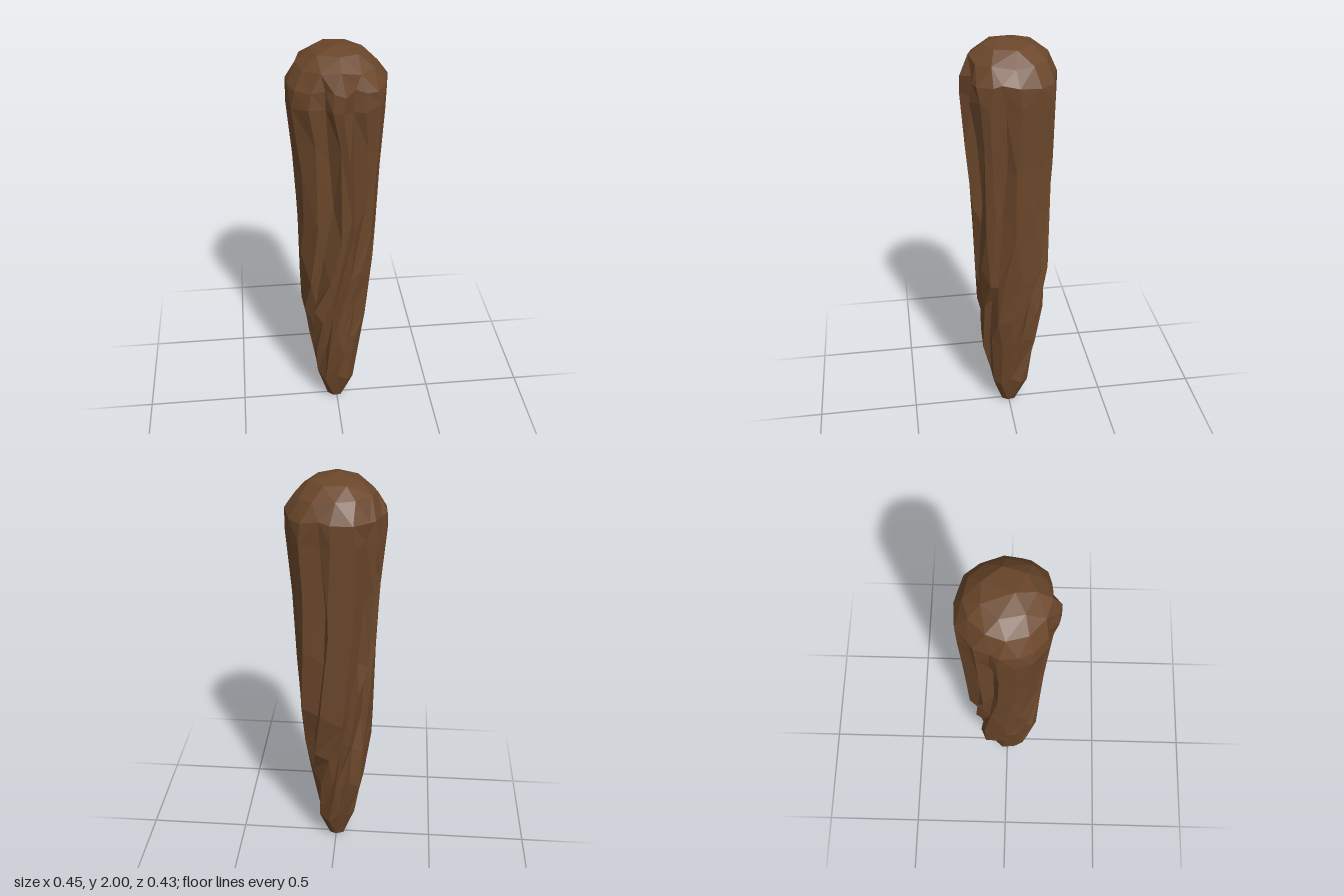
import * as THREE from 'three';

// Ribs and grooves around the trunk: [angle in degrees from +z towards +x, relief, groove depth]
const COLUMNS = [
  [2, 1, 0], [18, 0.84, 0.13], [31, 0.94, 0], [48, 1.01, 0], [64, 1, 0],
  [78, 0.97, 0.12], [95, 1.01, 0], [121, 1, 0.05], [142, 1.01, 0], [165, 0.94, 0.14],
  [175, 1, 0], [205, 1.04, 0], [226, 0.99, 0.15], [236, 1, 0], [250, 0.96, 0.15],
  [262, 1, 0], [281, 1.01, 0], [299, 1.02, 0], [321, 0.98, 0], [337, 0.85, 0.13], [350, 0.96, 0],
];

// Levels from the tip up. radii: outline at 0, 45 ... 315 degrees; swerve: bend of the front ribs;
// sides: number of corners on the coarse levels
const LEVELS = [
  { y: 0.01, radii: [0.04, 0.042, 0.038, 0.042, 0.04, 0.045, 0.052, 0.048], twist: -75, sides: 7 },
  { y: 0.17, radii: [0.092, 0.1, 0.088, 0.106, 0.1, 0.092, 0.106, 0.116], twist: -70, stagger: 0.03, sides: 11 },
  { y: 0.42, radii: [0.14, 0.128, 0.13, 0.138, 0.14, 0.168, 0.142, 0.15], twist: -52, groove: 0.8, stagger: 0.06 },
  { y: 0.65, radii: [0.152, 0.148, 0.157, 0.167, 0.168, 0.178, 0.172, 0.185], twist: -32, groove: 0.8, stagger: 0.06 },
  { y: 0.9, radii: [0.163, 0.185, 0.172, 0.205, 0.187, 0.18, 0.182, 0.182], twist: -14, swerve: 8, groove: 0.8, stagger: 0.09 },
  { y: 1.2, radii: [0.178, 0.197, 0.186, 0.215, 0.192, 0.192, 0.191, 0.175], twist: -3, swerve: 18, groove: 0.9, stagger: 0.12 },
  { y: 1.5, radii: [0.206, 0.213, 0.203, 0.22, 0.202, 0.21, 0.206, 0.188], swerve: 9, groove: 0.9, stagger: 0.09 },
  { y: 1.74, radii: [0.22, 0.236, 0.224, 0.235, 0.215, 0.22, 0.228, 0.222], groove: 0.5, stagger: 0.04 },
  { y: 1.85, radii: [0.215, 0.229, 0.222, 0.23, 0.216, 0.219, 0.222, 0.214], groove: 0.1, stagger: 0.015 },
  { y: 1.925, radii: [0.175, 0.18, 0.178, 0.18, 0.175, 0.178, 0.18, 0.176], stagger: 0.012, sides: 12 },
  { y: 1.975, radii: [0.115, 0.114, 0.113, 0.112, 0.11, 0.112, 0.114, 0.115], stagger: 0.006, sides: 7 },
];

// Repeatable value between -1 and 1
function noise(a, b) {
  const s = Math.sin(a * 12.9898 + b * 78.233) * 43758.5453;
  return (s - Math.floor(s)) * 2 - 1;
}

// Radius of an outline at any angle
function outline(radii, degrees) {
  const t = (((degrees % 360) + 360) % 360) / 45;
  const i = Math.floor(t);
  return THREE.MathUtils.lerp(radii[i % 8], radii[(i + 1) % 8], t - i);
}

function trunkPoint([angle, relief, depth], level) {
  const { y, radii, twist = 0, swerve = 0, groove = 0, stagger = 0, sides = 0 } = level;
  // Coarse levels gather neighbouring columns into one corner
  const step = 360 / sides;
  const base = sides ? (Math.round(angle / step) % sides) * step : angle;
  const front = angle > 180 ? angle - 360 : angle;
  const bend = swerve * Math.exp(-((front / 45) ** 2));
  const degrees = base + twist + bend + noise(base, y) * 3;
  const a = THREE.MathUtils.degToRad(degrees);
  const form = sides ? 1 : relief * (1 - depth * groove);
  const r = outline(radii, degrees) * form * (1 + noise(base, y + 3) * 0.015);
  return new THREE.Vector3(Math.sin(a) * r, y + noise(base, y + 7) * stagger, Math.cos(a) * r);
}

function trunkGeometry() {
  const n = COLUMNS.length;
  const rings = LEVELS.map((level) => COLUMNS.map((column) => trunkPoint(column, level)));
  const tip = new THREE.Vector3(-0.008, 0, 0);
  const crown = new THREE.Vector3(-0.01, 2, 0.03);
  const points = [];

  // Adds a facet, leaving out those closed up by gathered corners
  const facet = (a, b, c) => {
    if (new THREE.Triangle(a, b, c).getArea() > 1e-7) points.push(a, b, c);
  };

  for (let j = 0; j < n; j++) {
    const k = (j + 1) % n;
    facet(tip, rings[0][k], rings[0][j]);
    for (let i = 0; i < rings.length - 1; i++) {
      const a = rings[i][j], b = rings[i][k], c = rings[i + 1][k], d = rings[i + 1][j];
      // Diagonals follow the shorter way across each patch
      if (a.distanceTo(c) < b.distanceTo(d)) {
        facet(a, b, c);
        facet(a, c, d);
      } else {
        facet(a, b, d);
        facet(b, c, d);
      }
    }
    const last = rings[rings.length - 1];
    facet(last[j], last[k], crown);
  }

  const geometry = new THREE.BufferGeometry().setFromPoints(points);
  geometry.computeVertexNormals();
  return geometry;
}

export function createModel() {
  const group = new THREE.Group();
  group.name = 'woodenClub';
  const bark = new THREE.MeshStandardMaterial({ color: 0x6b472b, flatShading: true });
  const trunk = new THREE.Mesh(trunkGeometry(), bark);
  trunk.name = 'trunk';
  group.add(trunk);
  return group;
}
